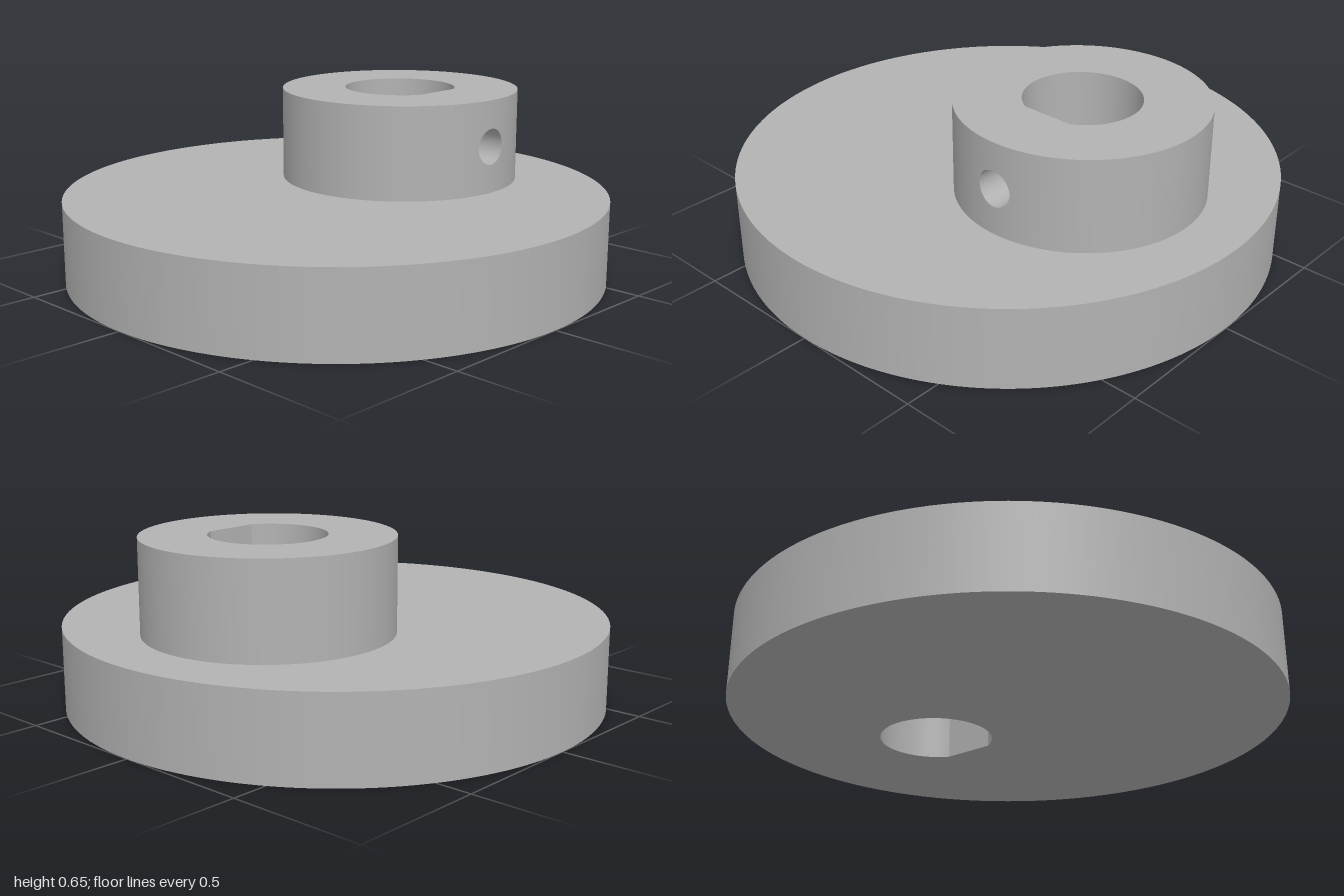
import * as THREE from 'three';

const DISC_R = 1, DISC_H = 0.305, TOP = 0.65;
const HUB_R = 0.45, HUB_Z = -0.35;
const BORE_R = 0.21, FLAT_X = 0.185;
const HOLE_R = 0.067, HOLE_Y = (DISC_H + TOP) / 2, PATCH = (TOP - DISC_H) / 2;
const SEG = 128;

// D-shaped bore outline, or a full circle when flatX equals r
function outline(Type, r, cy, flatX = r) {
  const path = new Type();
  const t = Math.acos(flatX / r);
  path.absarc(0, cy, r, t, Math.PI * 2 - t, false);
  path.closePath();
  return path;
}

// Horizontal face with one hole; dir = 1 faces up, -1 faces down
function face(r, z, hole, y, dir = 1) {
  const shape = outline(THREE.Shape, r, -z * dir);
  shape.holes.push(outline(THREE.Path, hole.r, -HUB_Z * dir, hole.flatX));
  return new THREE.ShapeGeometry(shape, SEG).rotateX(-dir * Math.PI / 2).translate(0, y, 0);
}

// Open upright wall between two heights
function wall(r, y0, y1, z, start = 0, length = Math.PI * 2) {
  return new THREE.CylinderGeometry(r, r, y1 - y0, SEG, 1, true, start, length)
    .translate(0, (y0 + y1) / 2, z);
}

// Square patch with a round hole, wrapped onto the hub's +x side
function hubPatch() {
  const rings = 8;
  const g = new THREE.RingGeometry(1, 2, 64, rings);
  const p = g.attributes.position, n = g.attributes.normal;
  for (let i = 0; i < p.count; i++) {
    const len = Math.hypot(p.getX(i), p.getY(i));
    const c = p.getX(i) / len, s = p.getY(i) / len;
    const edge = PATCH / Math.max(Math.abs(c), Math.abs(s));
    const d = THREE.MathUtils.lerp(HOLE_R, edge, len - 1);
    const z = -c * d, x = Math.sqrt(HUB_R ** 2 - z * z);
    p.setXYZ(i, x, HOLE_Y + s * d, z + HUB_Z);
    n.setXYZ(i, x / HUB_R, 0, z / HUB_R);
  }
  return g;
}

// Radial screw hole running from the bore flat to the curved hub wall
function screwTunnel() {
  const g = new THREE.CylinderGeometry(HOLE_R, HOLE_R, 1, 64, 1, true).rotateZ(-Math.PI / 2);
  const p = g.attributes.position;
  for (let i = 0; i < p.count; i++) {
    const z = p.getZ(i);
    const x = p.getX(i) > 0 ? Math.sqrt(HUB_R ** 2 - z * z) : FLAT_X;
    p.setXYZ(i, x, p.getY(i) + HOLE_Y, z + HUB_Z);
  }
  return g;
}

// Flat side of the bore, pierced by the screw hole
function boreFlat() {
  const w = Math.sqrt(BORE_R ** 2 - FLAT_X ** 2);
  const shape = new THREE.Shape([[-w, 0], [w, 0], [w, TOP], [-w, TOP]]
    .map(([x, y]) => new THREE.Vector2(x, y)));
  shape.holes.push(outline(THREE.Path, HOLE_R, HOLE_Y));
  return new THREE.ShapeGeometry(shape, 32).rotateY(-Math.PI / 2).translate(FLAT_X, 0, HUB_Z);
}

export function createModel() {
  const metal = new THREE.MeshStandardMaterial({ color: 0xb2b2b2, side: THREE.DoubleSide });
  metal.name = 'grey metal';

  const model = new THREE.Group();
  model.name = 'eccentricDisc';
  const add = (parent, name, geometry) => {
    const mesh = new THREE.Mesh(geometry, metal);
    mesh.name = name;
    parent.add(mesh);
  };
  const section = (name) => {
    const group = new THREE.Group();
    group.name = name;
    model.add(group);
    return group;
  };
  const boreHole = { r: BORE_R, flatX: FLAT_X };

  // Base disc
  const disc = section('disc');
  add(disc, 'discRim', wall(DISC_R, 0, DISC_H, 0));
  add(disc, 'discTop', face(DISC_R, 0, { r: HUB_R }, DISC_H));
  add(disc, 'discBottom', face(DISC_R, 0, boreHole, 0, -1));

  // Offset hub with a screw hole on its left
  const hub = section('hub');
  const b = Math.asin(PATCH / HUB_R);
  add(hub, 'hubWall', wall(HUB_R, DISC_H, TOP, HUB_Z, Math.PI / 2 + b, Math.PI * 2 - 2 * b));
  add(hub, 'hubScrewSide', hubPatch());
  add(hub, 'hubTop', face(HUB_R, HUB_Z, boreHole, TOP));
  add(hub, 'screwHole', screwTunnel());

  // D-shaped bore through the hub and disc
  const bore = section('bore');
  const a = Math.asin(FLAT_X / BORE_R);
  add(bore, 'boreWall', wall(BORE_R, 0, TOP, HUB_Z, Math.PI - a, Math.PI + 2 * a));
  add(bore, 'boreFlat', boreFlat());

  return model;
}
